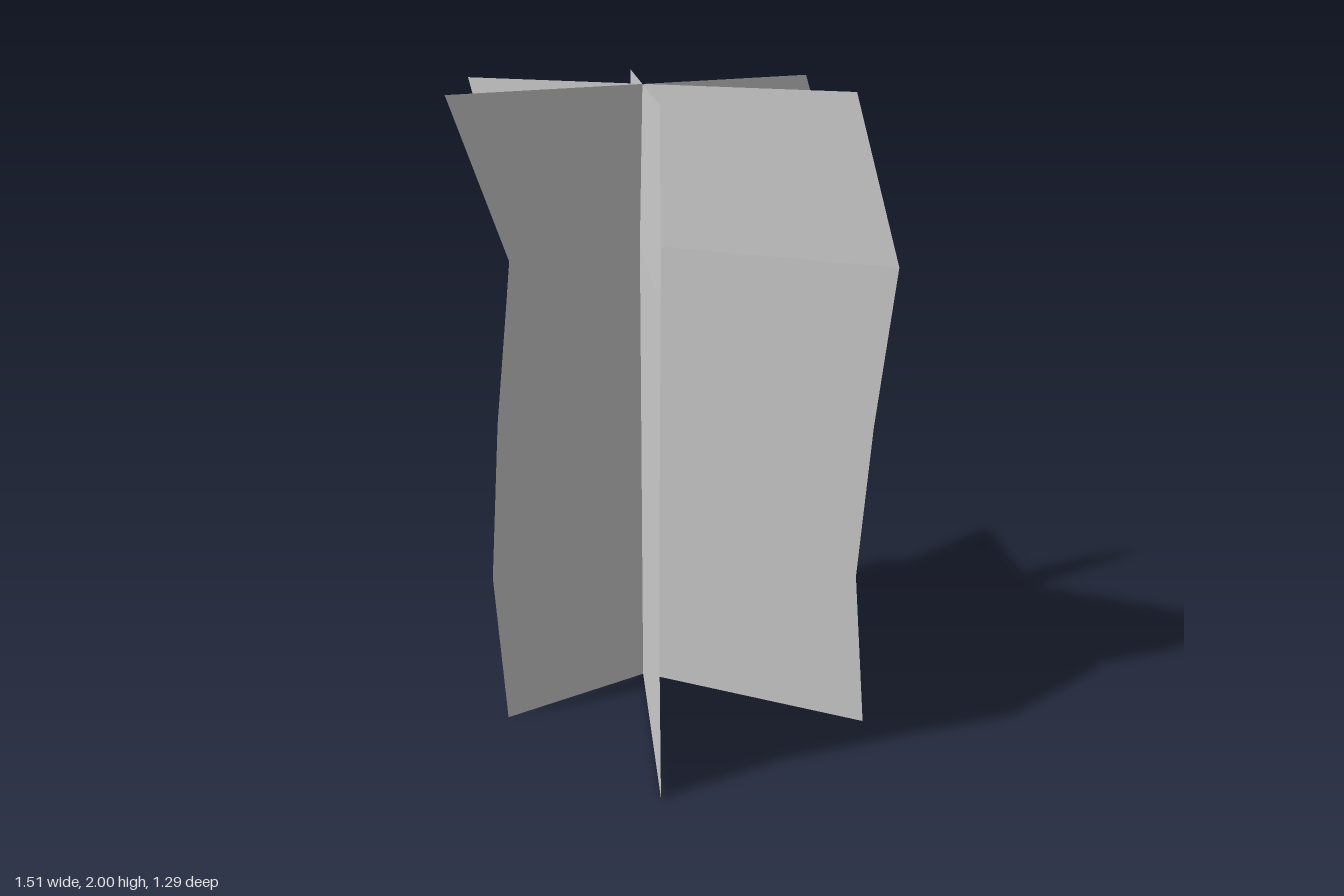
import * as THREE from 'three';

const HEIGHT = 2;

// Upright card: one side edge is a list of [x, z] at even heights, the other lies `span` away.
function makeCard(name, edge, span) {
  const rows = edge.length - 1;
  const geometry = new THREE.PlaneGeometry(1, HEIGHT, 1, rows);
  const position = geometry.attributes.position;
  for (let i = 0; i <= rows; i++) {
    const [x, z] = edge[i];
    const row = (rows - i) * 2; // plane rows run from top to bottom
    const y = (HEIGHT * i) / rows;
    position.setXYZ(row, x, y, z);
    position.setXYZ(row + 1, x + span[0], y, z + span[1]);
  }
  geometry.computeVertexNormals();
  const material = new THREE.MeshStandardMaterial({
    color: 0xcccccc, side: THREE.DoubleSide, flatShading: true,
  });
  const mesh = new THREE.Mesh(geometry, material);
  mesh.name = name;
  return mesh;
}

export function createModel() {
  const group = new THREE.Group();
  group.name = 'crossedCards';

  // Card across the width
  group.add(makeCard('crossCard',
    [[-0.63, -0.09], [-0.667, -0.09], [-0.63, -0.09], [-0.57, -0.09], [-0.758, -0.09]],
    [1.324, 0]));

  // Diagonal card, front right corner to back left
  group.add(makeCard('diagonalCardRight',
    [[-0.498, 0.596], [-0.478, 0.562], [-0.497, 0.596], [-0.525, 0.645], [-0.437, 0.517]],
    [0.661, -1.147]));

  // Diagonal card, front left corner to back right
  group.add(makeCard('diagonalCardLeft',
    [[-0.365, -0.553], [-0.385, -0.588], [-0.366, -0.553], [-0.337, -0.502], [-0.4, -0.642]],
    [0.661, 1.147]));

  return group;
}
